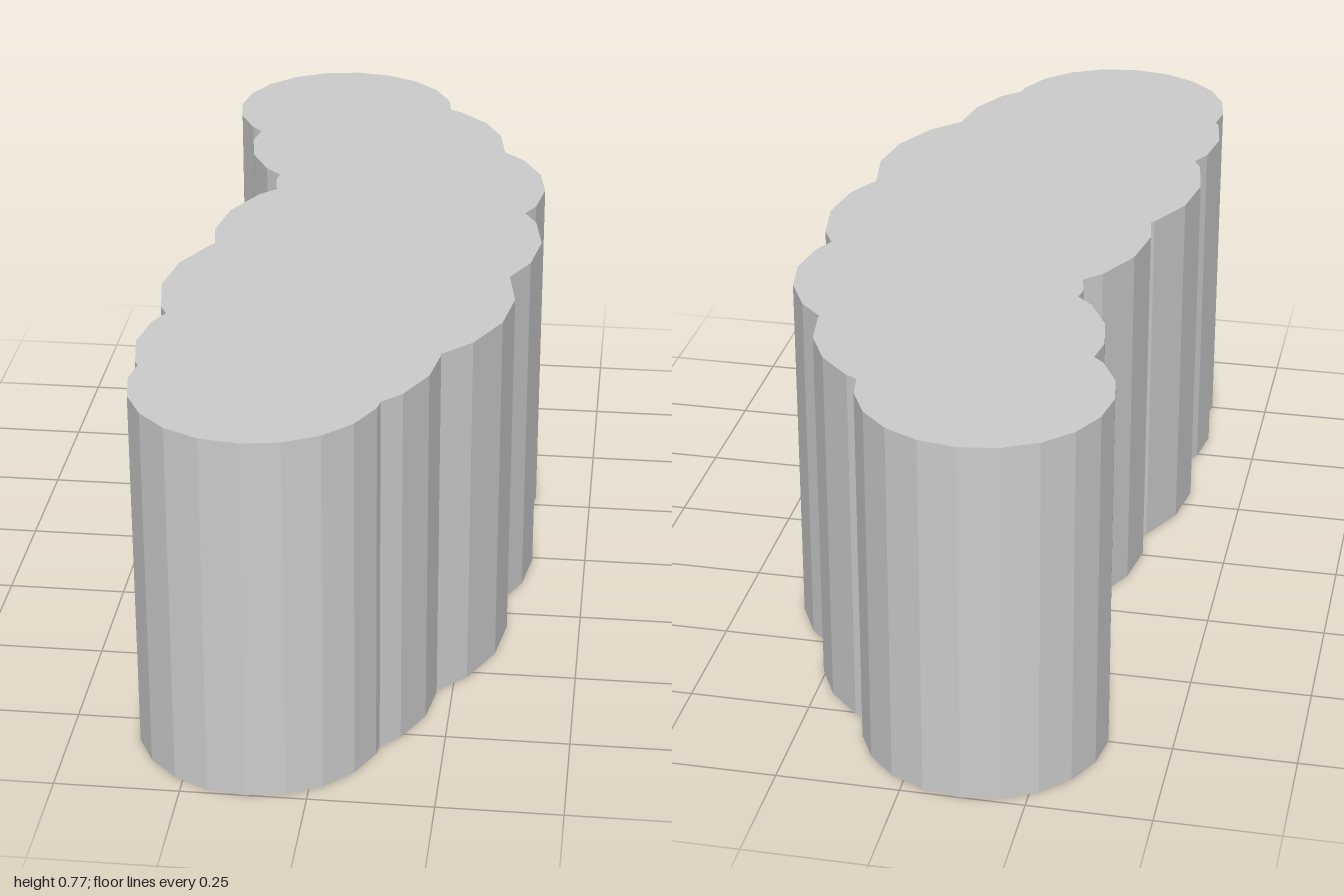
import * as THREE from 'three';

const HEIGHT = 0.77;
const SIDES = 20;

// Overlapping round lobes from back to front: centre x, centre z, radius
const LOBES = [
  [-0.12, -0.75, 0.25],
  [-0.02, -0.52, 0.29],
  [0.075, -0.285, 0.3],
  [0.033, 0.01, 0.35],
  [-0.018, 0.307, 0.363],
  [-0.083, 0.585, 0.301],
  [-0.12, 0.75, 0.25],
];

// Half of a lobe's polygon, from its back tip to its front tip
function halfLobe([cx, cz, r], side) {
  const points = [];
  for (let k = 0; k <= SIDES / 2; k++) {
    const a = (k / SIDES) * Math.PI * 2;
    points.push(new THREE.Vector2(cx + side * r * Math.sin(a), cz - r * Math.cos(a)));
  }
  return points;
}

// Crossing point of the segments ab and cd, or null
function crossSegments(a, b, c, d) {
  const u = b.clone().sub(a), v = d.clone().sub(c), w = c.clone().sub(a);
  const det = u.cross(v);
  if (Math.abs(det) < 1e-9) return null;
  const s = w.cross(v) / det, t = w.cross(u) / det;
  return s >= 0 && s <= 1 && t >= 0 && t <= 1 ? a.clone().addScaledVector(u, s) : null;
}

// Notch where one half lobe meets the next
function findNotch(p, q) {
  for (let i = 0; i < p.length - 1; i++) {
    for (let j = 0; j < q.length - 1; j++) {
      const point = crossSegments(p[i], p[i + 1], q[j], q[j + 1]);
      if (point) return { point, end: i, start: j + 1 };
    }
  }
  return null;
}

// Scalloped edge along one side, back to front
function sideOutline(side) {
  const halves = LOBES.map((lobe) => halfLobe(lobe, side));
  const outline = [];
  let start = 0;
  halves.forEach((half, i) => {
    const notch = i < halves.length - 1 ? findNotch(half, halves[i + 1]) : null;
    outline.push(...half.slice(start, notch ? notch.end + 1 : half.length));
    if (notch) {
      outline.push(notch.point);
      start = notch.start;
    }
  });
  return outline;
}

export function createModel() {
  const group = new THREE.Group();
  group.name = 'scallopedBlock';

  // Closed outline: down one side and back up the other, without repeating the tips
  const outline = [...sideOutline(1), ...sideOutline(-1).reverse().slice(1, -1)];
  const shape = new THREE.Shape(outline.map((p) => new THREE.Vector2(p.x, -p.y)));

  // Upright prism standing on the ground
  const geometry = new THREE.ExtrudeGeometry(shape, { depth: HEIGHT, bevelEnabled: false });
  geometry.rotateX(-Math.PI / 2);
  const body = new THREE.Mesh(
    geometry,
    new THREE.MeshStandardMaterial({ color: 0xcccccc, flatShading: true })
  );
  body.name = 'lobedBody';
  group.add(body);
  return group;
}
